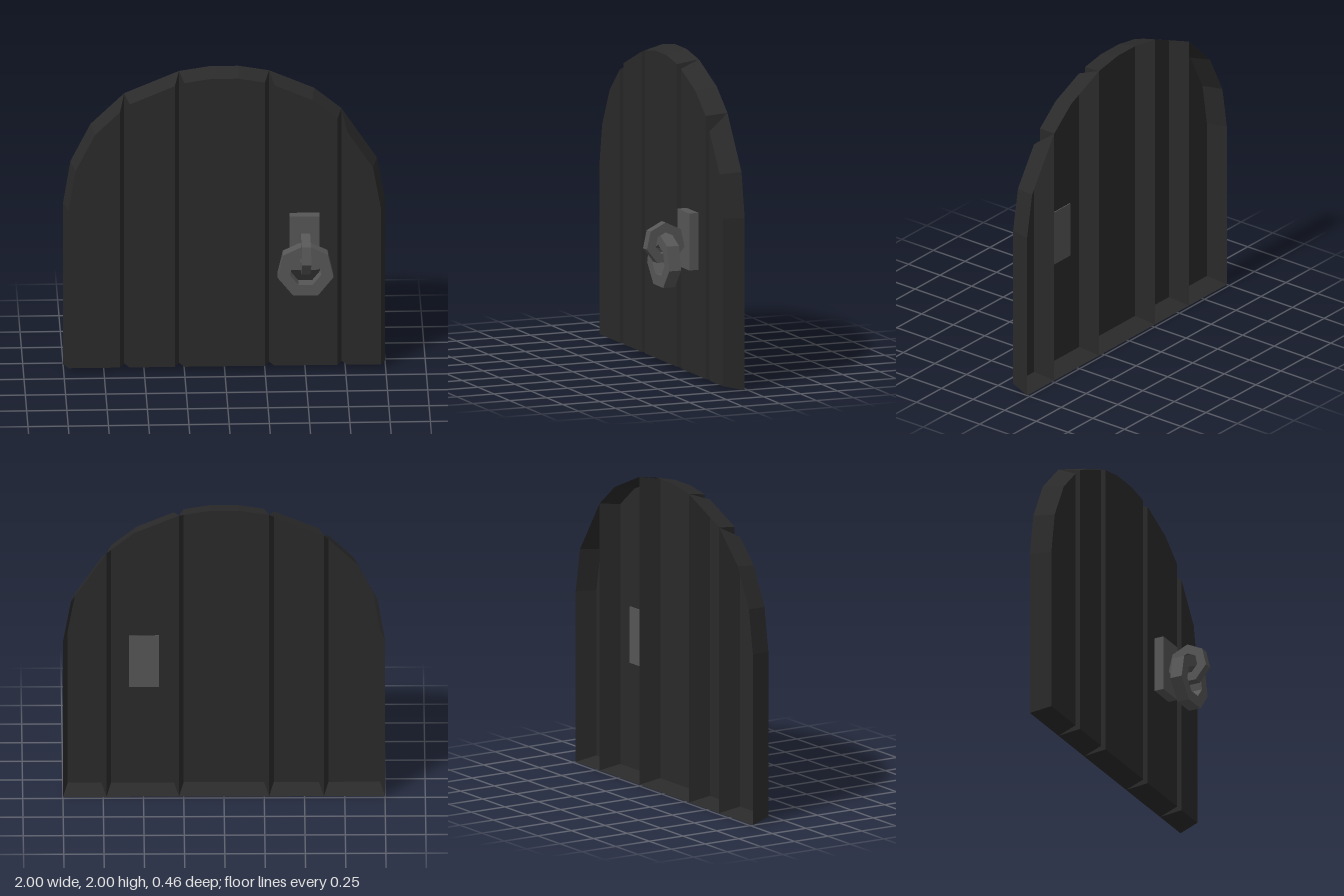
import * as THREE from 'three';

const wood = new THREE.MeshStandardMaterial({ color: 0x2a2a2a, flatShading: true, side: THREE.DoubleSide });
const iron = new THREE.MeshStandardMaterial({ color: 0x565656, flatShading: true });

const BACK = -0.23, FRONT = -0.095, BEVEL = 0.03;

// Arch outline from right to left
const arch = [
  [1, 1.09], [0.95, 1.37], [0.73, 1.705], [0.56, 1.845], [0.28, 1.967], [0.09, 2],
  [-0.09, 2], [-0.28, 1.97], [-0.62, 1.825], [-0.83, 1.62], [-0.955, 1.37], [-1, 1.09],
];
const seams = [-1, -0.62, -0.28, 0.28, 0.73, 1];

// Move every edge of a counter-clockwise convex outline inwards by d
function inset(points, d) {
  const n = points.length;
  const normal = (a, b) => new THREE.Vector2(a.y - b.y, b.x - a.x).normalize();
  return points.map((p, i) => {
    const n1 = normal(points[(i + n - 1) % n], p);
    const n2 = normal(p, points[(i + 1) % n]);
    return n1.clone().add(n2).multiplyScalar(d / (1 + n1.dot(n2))).add(p);
  });
}

// Hollow plank: bevelled walls and a front face, open at the back
function plank(x0, x1) {
  const top = arch.filter(([x]) => x >= x0 && x <= x1);
  const outer = [[x0, 0], [x1, 0], ...top].map(([x, y]) => new THREE.Vector2(x, y));
  const inner = inset(outer, BEVEL);
  const n = outer.length;
  const positions = [], index = [];
  outer.forEach((p) => positions.push(p.x, p.y, BACK));
  inner.forEach((p) => positions.push(p.x, p.y, FRONT));
  for (let i = 0; i < n; i++) {
    const j = (i + 1) % n;
    index.push(i, j, n + j, i, n + j, n + i);
    if (i > 0 && i < n - 1) index.push(n, n + i, n + i + 1);
  }
  const geometry = new THREE.BufferGeometry();
  geometry.setAttribute('position', new THREE.Float32BufferAttribute(positions, 3));
  geometry.setIndex(index);
  const flat = geometry.toNonIndexed();
  flat.computeVertexNormals();
  return new THREE.Mesh(flat, wood);
}

// Seven-sided flat ring with one corner pointing up
function ring(outerR, innerR, depth) {
  const heptagon = (r) => Array.from({ length: 7 }, (_, i) => {
    const a = Math.PI / 2 + (i * Math.PI * 2) / 7;
    return new THREE.Vector2(Math.cos(a) * r, Math.sin(a) * r);
  });
  const shape = new THREE.Shape(heptagon(outerR));
  shape.holes.push(new THREE.Path(heptagon(innerR)));
  const geometry = new THREE.ExtrudeGeometry(shape, { depth, bevelEnabled: false });
  geometry.translate(0, 0, -depth / 2);
  return new THREE.Mesh(geometry, iron);
}

export function createModel() {
  const door = new THREE.Group();
  door.name = 'door';

  for (let i = 0; i < seams.length - 1; i++) {
    const board = plank(seams[i], seams[i + 1]);
    board.name = `plank${i + 1}`;
    door.add(board);
  }

  // Handle: back plate, upright staple ring and hanging pull ring
  const handle = new THREE.Group();
  handle.name = 'handle';

  const plate = new THREE.Mesh(new THREE.BoxGeometry(0.185, 0.36, 0.068), iron);
  plate.name = 'handlePlate';
  plate.position.set(0.495, 0.88, -0.067);

  const staple = ring(0.132, 0.07, 0.058);
  staple.name = 'stapleRing';
  staple.position.set(0.495, 0.87, 0.1);
  staple.rotation.y = Math.PI / 2 + 0.03;

  const pull = ring(0.178, 0.1, 0.08);
  pull.name = 'pullRing';
  pull.position.set(0.495, 0.76, 0.097);

  handle.add(plate, staple, pull);
  door.add(handle);
  return door;
}
